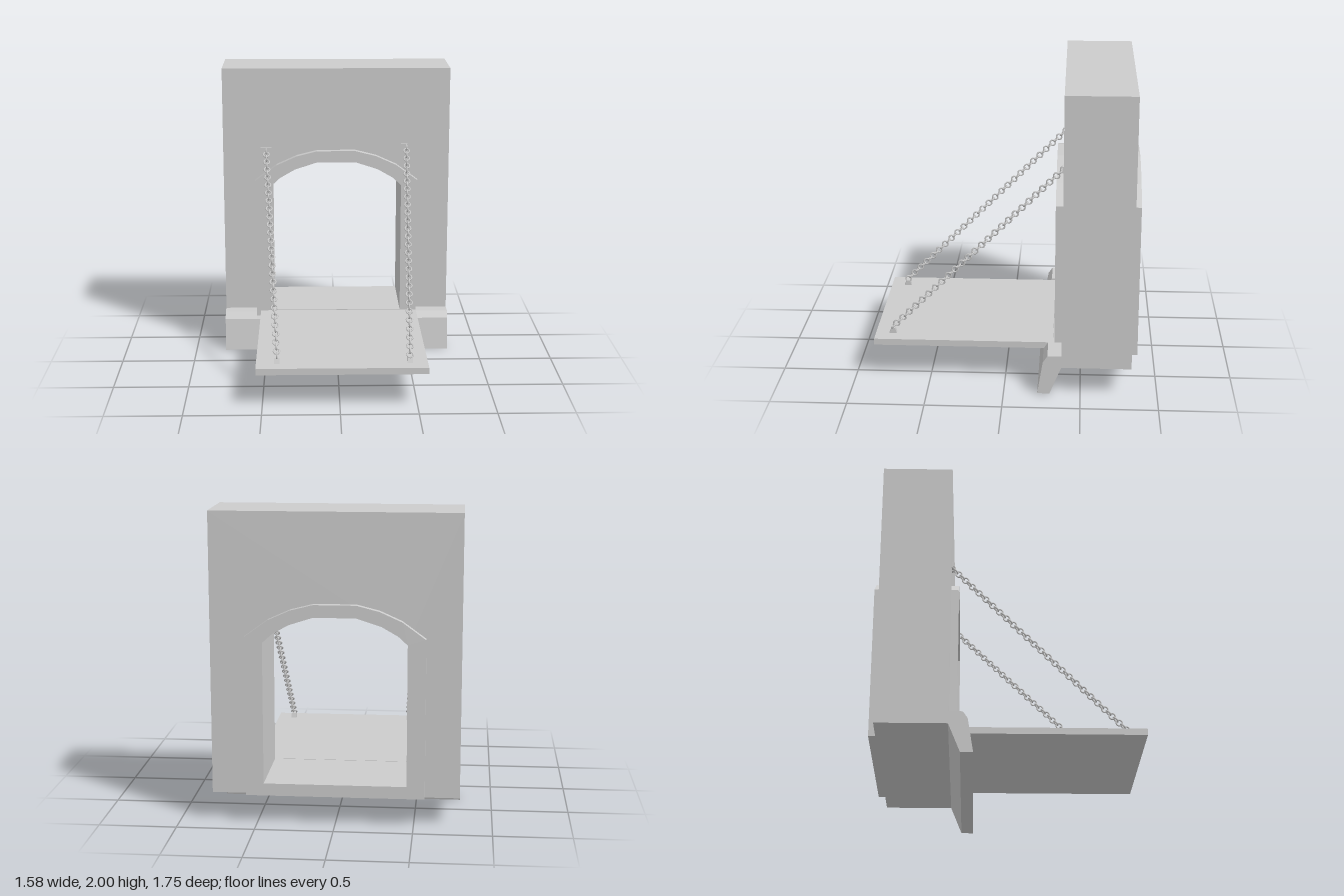
import * as THREE from 'three';

const mat = new THREE.MeshStandardMaterial({ color: 0xcccccc, flatShading: true });
const chainMat = new THREE.MeshStandardMaterial({ color: 0xcccccc });

// Right half of each arch, from springing to crown
const INNER = [[0.455, 1.18], [0.395, 1.235], [0.29, 1.295], [0.135, 1.345]];
const OUTER = [[0.57, 1.215], [0.42, 1.325], [0.28, 1.388], [0.135, 1.425]];
const SILL = 0.265;

function archPoints(half, bottom) {
  const w = half[0][0];
  const pts = [[w, bottom], ...half, ...half.map(([x, y]) => [-x, y]).reverse(), [-w, bottom]];
  return pts.map(([x, y]) => new THREE.Vector2(x, y));
}

function add(parent, name, geometry, x = 0, y = 0, z = 0, material = mat) {
  const mesh = new THREE.Mesh(geometry, material);
  mesh.name = name;
  mesh.position.set(x, y, z);
  parent.add(mesh);
  return mesh;
}

// Slab between two depths, pierced by the arched doorway
function piercedSlab(points, z0, z1) {
  const shape = new THREE.Shape(points);
  shape.holes.push(new THREE.Path(archPoints(INNER, SILL)));
  return new THREE.ExtrudeGeometry(shape, { depth: z1 - z0, bevelEnabled: false }).translate(0, 0, z0);
}

// Side profile given as [z, y], extruded along x
function sideExtrude(profile, x0, x1) {
  const shape = new THREE.Shape(profile.map(([z, y]) => new THREE.Vector2(-z, y)));
  return new THREE.ExtrudeGeometry(shape, { depth: x1 - x0, bevelEnabled: false })
    .rotateY(Math.PI / 2).translate(x0, 0, 0);
}

function chain(parent, name, from, to) {
  const group = new THREE.Group();
  group.name = name;
  const dir = to.clone().sub(from);
  const count = Math.round(dir.length() / 0.0315);
  dir.normalize();
  // Alternate links lie in the vertical plane and at right angles to it
  const side = new THREE.Vector3(1, 0, 0).addScaledVector(dir, -dir.x).normalize();
  const up = new THREE.Vector3().crossVectors(side, dir);
  const link = new THREE.TorusGeometry(0.0195, 0.0055, 6, 12);
  for (let i = 0; i <= count; i++) {
    const mesh = add(group, 'chainLink', link, 0, 0, 0, chainMat);
    mesh.position.lerpVectors(from, to, i / count);
    const basis = i % 2
      ? new THREE.Matrix4().makeBasis(dir, side, up.clone())
      : new THREE.Matrix4().makeBasis(dir, up, side.clone().negate());
    if (basis.determinant() < 0) basis.scale(new THREE.Vector3(1, 1, -1));
    mesh.quaternion.setFromRotationMatrix(basis);
  }
  parent.add(group);
}

export function createModel() {
  const model = new THREE.Group();
  model.name = 'gatehouse';

  // Wall with the arched passage
  const wall = [[-0.792, 0.185], [0.792, 0.185], [0.792, 2], [-0.792, 2]]
    .map(([x, y]) => new THREE.Vector2(x, y));
  add(model, 'wall', piercedSlab(wall, -0.83, -0.375));

  // Raised surrounds on both faces
  add(model, 'frontArchFrame', piercedSlab(archPoints(OUTER, 0.2), -0.375, -0.325));
  add(model, 'backArchFrame', piercedSlab(archPoints(OUTER, 0.185), -0.875, -0.83));

  // Sloping footing, notched in the middle to seat the bridge
  const full = [[-0.375, 0.185], [-0.30, 0], [-0.22, 0], [-0.255, 0.22], [-0.285, SILL], [-0.375, SILL]];
  const low = [...full.slice(0, 4), [-0.375, 0.22]];
  add(model, 'footingCentre', sideExtrude(low, -0.57, 0.57));
  add(model, 'footingRight', sideExtrude(full, -0.792, -0.57));
  add(model, 'footingLeft', sideExtrude(full, 0.57, 0.792));

  // Lowered bridge deck
  add(model, 'bridgeDeck', new THREE.BoxGeometry(1.11, 0.043, 1.19), 0.015, 0.2425, 0.28);

  // Chains with wall plates and deck lugs
  const lug = [[0.785, SILL], [0.77, 0.3], [0.745, 0.3], [0.735, SILL]];
  for (const [side, topX, topY, lowX] of [['right', -0.492, 1.425, -0.405], ['left', 0.493, 1.447, 0.455]]) {
    add(model, side + 'WallPlate', new THREE.BoxGeometry(0.078, 0.042, 0.012), topX, topY, -0.371);
    add(model, side + 'DeckLug', sideExtrude(lug, lowX - 0.018, lowX + 0.018));
    chain(model, side + 'Chain',
      new THREE.Vector3(topX, topY - 0.005, -0.372), new THREE.Vector3(lowX, 0.31, 0.757));
  }
  return model;
}
